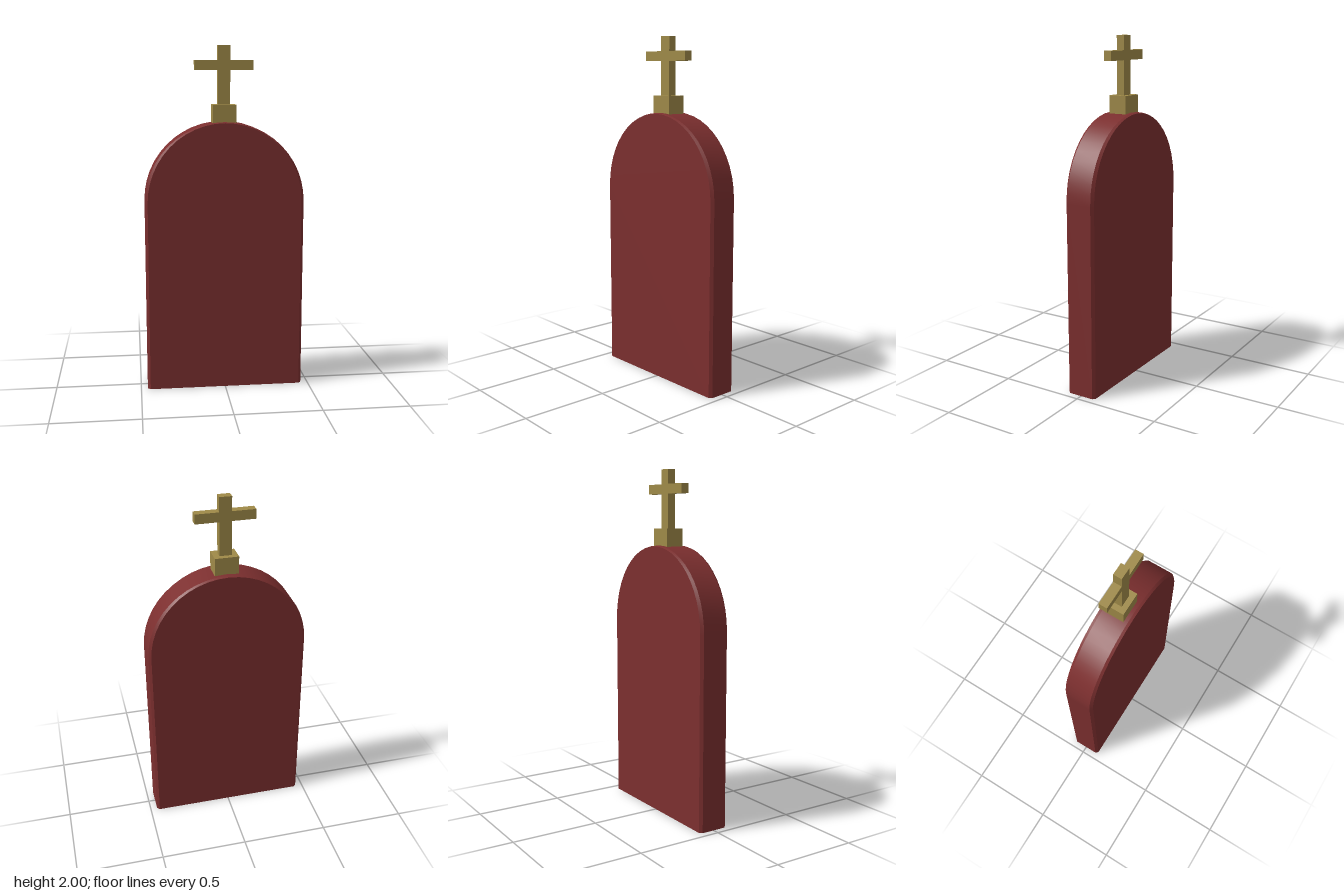
import * as THREE from 'three';

const HALF_W = 0.46, SPRING = 1.11, SEGMENTS = 24;

// Arched outline, counter-clockwise from the lower left side (+x) to the other foot
function archOutline(halfW, rise) {
  const pts = [new THREE.Vector2(halfW, 0)];
  for (let i = 0; i <= SEGMENTS; i++) {
    const a = (i / SEGMENTS) * Math.PI;
    pts.push(new THREE.Vector2(halfW * Math.cos(a), SPRING + rise * Math.sin(a)));
  }
  pts.push(new THREE.Vector2(-halfW, 0));
  return pts;
}

// Strip of surface joining two outlines at different depths (front one first)
function strip(front, zFront, back, zBack) {
  const pos = [], index = [];
  front.forEach((p, i) => {
    pos.push(p.x, p.y, zFront, back[i].x, back[i].y, zBack);
    if (i < front.length - 1) {
      const a = i * 2;
      index.push(a, a + 1, a + 2, a + 1, a + 3, a + 2);
    }
  });
  const g = new THREE.BufferGeometry();
  g.setAttribute('position', new THREE.Float32BufferAttribute(pos, 3));
  g.setIndex(index);
  g.computeVertexNormals();
  return g;
}

export function createModel() {
  const red = new THREE.MeshStandardMaterial({ color: 0x7c2f2f, side: THREE.DoubleSide });
  red.name = 'dark red';
  const gold = new THREE.MeshStandardMaterial({ color: 0x9f8a48 });
  gold.name = 'dull gold';

  const model = new THREE.Group();
  model.name = 'archedTablet';
  const add = (parent, name, geometry, material) => {
    const mesh = new THREE.Mesh(geometry, material);
    mesh.name = name;
    parent.add(mesh);
    return mesh;
  };

  // Hollow tablet, open underneath, with bevelled front and back edges
  const tablet = new THREE.Group();
  tablet.name = 'tablet';
  model.add(tablet);
  const outer = archOutline(HALF_W, 0.46);
  const inner = archOutline(HALF_W - 0.015, 0.456);
  add(tablet, 'rim', strip(outer, 0.075, outer, -0.075), red);
  add(tablet, 'frontBevel', strip(inner, 0.09, outer, 0.075), red);
  add(tablet, 'backBevel', strip(outer, -0.075, inner, -0.09), red);
  const panel = new THREE.ShapeGeometry(new THREE.Shape(inner));
  add(tablet, 'frontPanel', panel, red).position.z = 0.09;
  const back = add(tablet, 'backPanel', panel, red);
  back.position.z = -0.09;
  back.rotation.y = Math.PI;

  // Cross on a small block: name, width, bottom, top, depth
  const cross = new THREE.Group();
  cross.name = 'cross';
  model.add(cross);
  for (const [name, w, y0, y1, d] of [
    ['crossBase', 0.136, 1.563, 1.667, 0.108],
    ['crossPost', 0.07, 1.667, 2, 0.048],
    ['crossBar', 0.336, 1.862, 1.917, 0.048],
  ]) {
    add(cross, name, new THREE.BoxGeometry(w, y1 - y0, d), gold).position.y = (y0 + y1) / 2;
  }
  return model;
}
